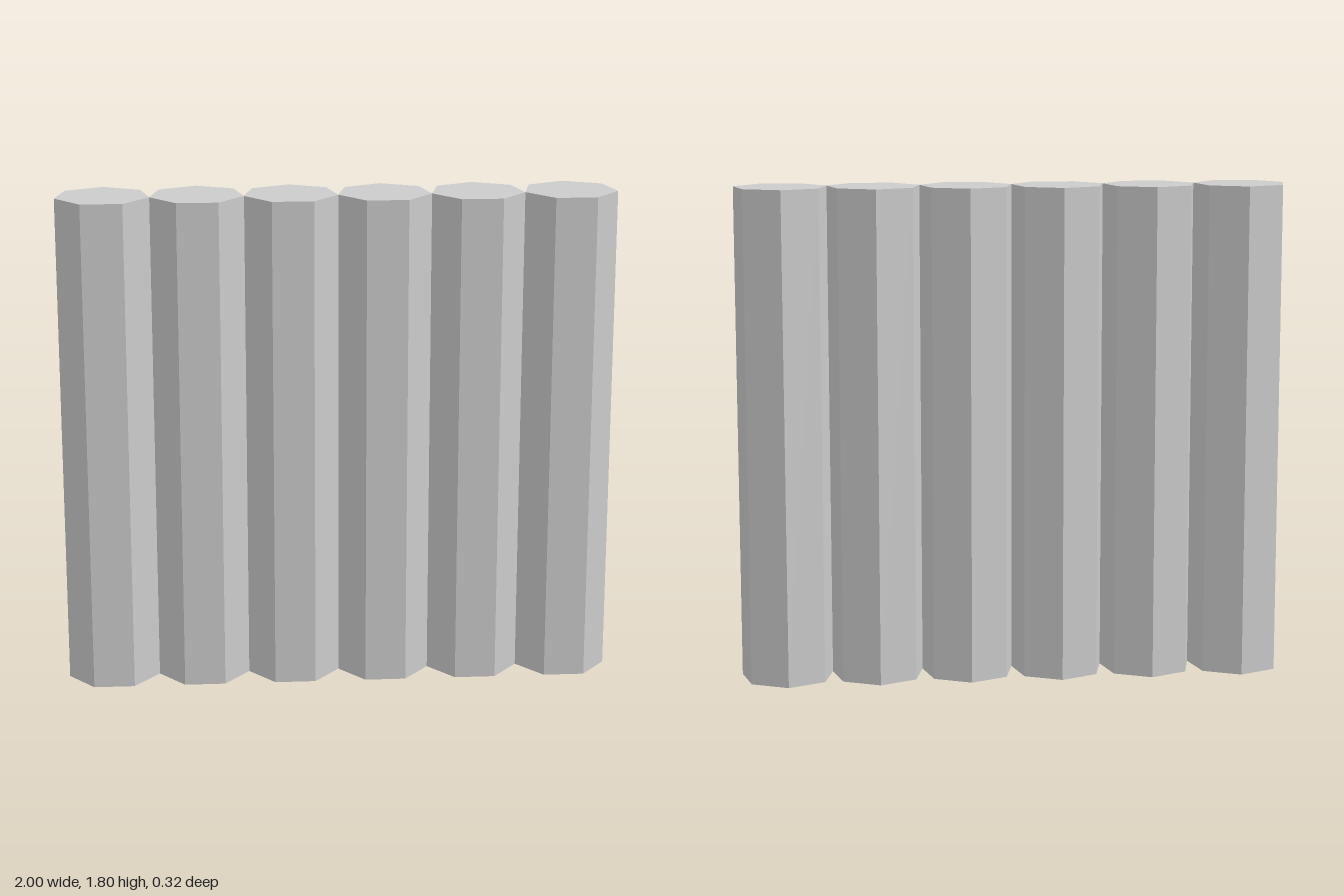
import * as THREE from 'three';

export function createModel() {
  const group = new THREE.Group();
  group.name = 'palisadeWall';

  const count = 6;
  const sides = 7;
  const height = 1.8;
  const spacing = 2 / count;
  // Radius chosen so neighbouring posts touch at their widest corners
  const radius = spacing / 2 / Math.sin((4 * Math.PI) / sides);
  // Centre the odd-sided section front to back
  const zOffset = (radius * (1 - Math.cos(Math.PI / sides))) / 2;

  const material = new THREE.MeshStandardMaterial({ color: 0xcccccc, flatShading: true });

  // Seven-sided post: corner at the back, flat face at the front
  const geometry = new THREE.CylinderGeometry(radius, radius, height, sides);
  geometry.rotateY(Math.PI);
  geometry.translate(0, height / 2, zOffset);

  // Row of posts
  for (let i = 0; i < count; i++) {
    const post = new THREE.Mesh(geometry, material);
    post.name = `post${i + 1}`;
    post.position.x = (i - (count - 1) / 2) * spacing;
    group.add(post);
  }

  return group;
}
